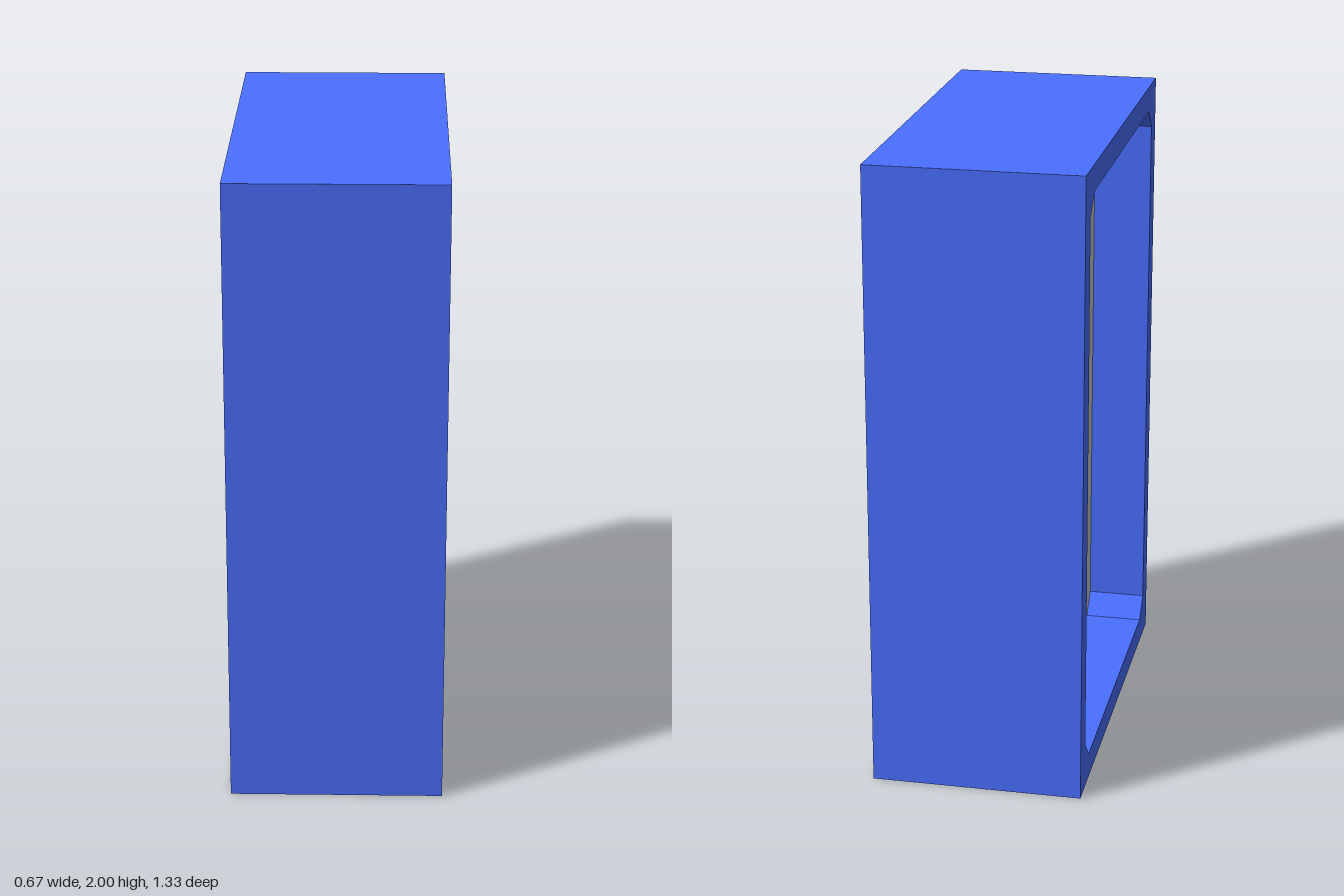
import * as THREE from 'three';

const HEIGHT = 2, DEPTH = 4 / 3, WIDTH = 2 / 3;
const BORDER = 0.082, CHAMFER = 0.065;
const RECESS_LEFT = 0.25, RECESS_RIGHT = 0.19;

// Corners of a centred rectangle with its corners cut at 45 degrees
function chamferedRect(w, h, c) {
  const x = w / 2, y = h / 2;
  return [
    [x, y - c], [x - c, y], [c - x, y], [-x, y - c],
    [-x, c - y], [c - x, -y], [x - c, -y], [x, c - y],
  ].map(([a, b]) => new THREE.Vector2(a, b));
}

// Extrude a profile sideways, from x0 to x1
function extrudeAlongX(shape, x0, x1) {
  return new THREE.ExtrudeGeometry(shape, { depth: x1 - x0, bevelEnabled: false })
    .translate(0, 0, x0)
    .rotateY(Math.PI / 2)
    .translate(0, HEIGHT / 2, 0);
}

export function createModel() {
  const group = new THREE.Group();
  group.name = 'framedPanel';

  const opening = chamferedRect(DEPTH - 2 * BORDER, HEIGHT - 2 * BORDER, CHAMFER);

  // Deep outer frame with a chamfered opening through it
  const z = DEPTH / 2, y = HEIGHT / 2;
  const outline = new THREE.Shape([
    new THREE.Vector2(-z, -y), new THREE.Vector2(z, -y),
    new THREE.Vector2(z, y), new THREE.Vector2(-z, y),
  ]);
  outline.holes.push(new THREE.Path(opening));
  const frame = new THREE.Mesh(
    extrudeAlongX(outline, -WIDTH / 2, WIDTH / 2),
    new THREE.MeshStandardMaterial({ color: 0x4a6fff }),
  );
  frame.name = 'frame';

  // Thick panel filling the opening, recessed on both sides
  const panel = new THREE.Mesh(
    extrudeAlongX(new THREE.Shape(opening), RECESS_RIGHT - WIDTH / 2, WIDTH / 2 - RECESS_LEFT),
    new THREE.MeshStandardMaterial({ color: 0xcccccc }),
  );
  panel.name = 'panel';

  group.add(frame, panel);
  return group;
}
